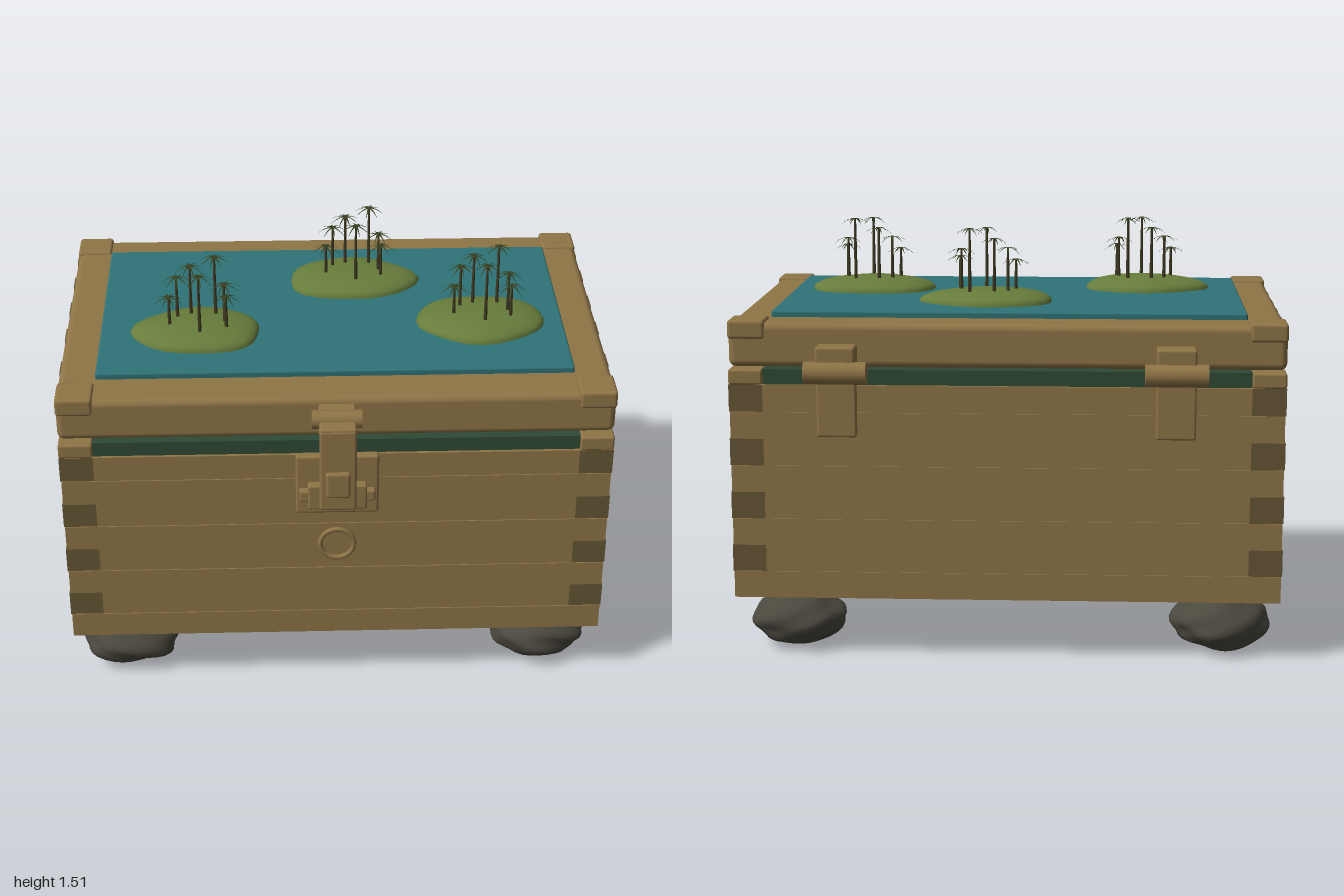
import * as THREE from 'three';
import { mergeVertices } from 'three/addons/utils/BufferGeometryUtils.js';
import { RoundedBoxGeometry } from 'three/addons/geometries/RoundedBoxGeometry.js';

const mat = (name, color) => {
  const m = new THREE.MeshStandardMaterial({ color });
  m.name = name;
  return m;
};

export function createModel() {
  const model = new THREE.Group();
  model.name = 'islandChest';
  const wood = mat('wood', 0x8f7547), endGrain = mat('endGrain', 0x665735);
  const liner = mat('liner', 0x2f4a35), water = mat('water', 0x2f7377);
  const grass = mat('grass', 0x687d3c), stone = mat('stone', 0x4b483e);
  const bark = mat('bark', 0x3f3a22), leaf = mat('leaf', 0x34401f);
  leaf.side = THREE.DoubleSide;

  const add = (name, geo, material, parent = model) => {
    const m = new THREE.Mesh(geo, material);
    m.name = name;
    parent.add(m);
    return m;
  };
  // Box given by its limits, with an optional rounded edge
  const box = (name, material, [x0, x1], [y0, y1], [z0, z1], r = 0, parent = model) => {
    const s = [x1 - x0, y1 - y0, z1 - z0];
    const m = add(name, r ? new RoundedBoxGeometry(...s, 3, r) : new THREE.BoxGeometry(...s), material, parent);
    m.position.set((x0 + x1) / 2, (y0 + y1) / 2, (z0 + z1) / 2);
    return m;
  };
  const barrel = (name, x, y, z, r, len) => {
    const m = add(name, new THREE.CylinderGeometry(r, r, len, 20), wood);
    m.rotation.z = Math.PI / 2;
    m.position.set(x, y, z);
  };

  // Chest limits
  const X0 = -0.965, X1 = 0.995, Z0 = -0.68, Z1 = 0.63, Y0 = 0.22, H = 0.097, TX = 0.12, TZ = 0.1;

  // Box-jointed walls: even rows run through along x, odd rows along z
  const endX = [endGrain, endGrain, wood, wood, wood, wood];
  const endZ = [wood, wood, wood, wood, endGrain, endGrain];
  const e = 0.004;
  for (let i = 0; i < 8; i++) {
    const y = [Y0 + i * H, Y0 + (i + 1) * H];
    if (i % 2 === 0) {
      box('frontBoard', endX, [X0 + e, X1 - e], y, [Z1 - TZ, Z1]);
      box('backBoard', endX, [X0 + e, X1 - e], y, [Z0, Z0 + TZ]);
      for (const x of [[X0 + e, X0 + TX], [X1 - TX, X1 - e]])
        box('sideBoard', wood, x, y, [Z0 + TZ, Z1 - TZ]);
    } else {
      box('leftBoard', endZ, [X1 - TX, X1], y, [Z0 + e, Z1 - e]);
      box('rightBoard', endZ, [X0, X0 + TX], y, [Z0 + e, Z1 - e]);
      for (const z of [[Z0 + e, Z0 + TZ], [Z1 - TZ, Z1 - e]])
        box('crossBoard', wood, [X0 + TX, X1 - TX], y, z);
    }
  }
  // Corner stubs above the walls
  const top = Y0 + 8 * H;
  for (const x of [[X0, X0 + TX], [X1 - TX, X1]])
    for (const z of [[Z0, Z0 + TZ], [Z1 - TZ, Z1]])
      box('cornerStub', wood, x, [top, 1.05], z, 0.008);

  // Liner showing under the lid, and the base
  box('linerLong', liner, [X0 + TX, X1 - TX], [0.9, 1.05], [Z0 + 0.015, Z1 - 0.015]);
  box('linerCross', liner, [X0 + 0.012, X1 - 0.012], [top - 0.01, 1.048], [-0.565, 0.52]);
  box('base', wood, [-0.88, 0.915], [0.187, 0.26], [-0.58, 0.535], 0.012);

  // Lid with end-grain patches and corner caps
  box('lid', wood, [X0 - 0.002, X1 + 0.002], [1.055, 1.212], [-0.655, 0.605], 0.025);
  for (const z of [0.495, 0.323, 0.083, -0.126, -0.335, -0.538])
    for (const x of [X0 - 0.002, X1 + 0.002])
      box('lidEndGrain', endGrain, [x - 0.003, x + 0.003], [1.075, 1.192], [z - 0.043, z + 0.043]);
  for (const x of [[X0 - 0.003, X0 + 0.128], [X1 - 0.128, X1 + 0.003]])
    for (const z of [[-0.662, -0.53], [0.48, 0.61]])
      box('lidCorner', wood, x, [1.155, 1.222], z, 0.012);

  // Water sheet
  box('water', water, [-0.835, 0.865], [1.2, 1.235], [-0.51, 0.45], 0.008);

  // Islands: wobbly flattened domes
  const dome = (seed) => {
    const g = new THREE.SphereGeometry(1, 24, 10, 0, Math.PI * 2, 0, Math.PI / 2);
    const p = g.attributes.position;
    for (let i = 0; i < p.count; i++) {
      const x = p.getX(i), z = p.getZ(i), a = Math.atan2(z, x);
      const k = 0.98 + 0.035 * Math.sin(3 * a + seed) + 0.025 * Math.sin(5 * a + seed * 2);
      p.setXYZ(i, x * k, Math.pow(Math.max(p.getY(i), 0), 0.8), z * k);
    }
    g.computeVertexNormals();
    return g;
  };
  // One palm frond, bent down towards its tip
  const frond = new THREE.PlaneGeometry(0.055, 0.009, 4, 1).rotateX(-Math.PI / 2).translate(0.0275, 0, 0);
  const fp = frond.attributes.position;
  for (let i = 0; i < fp.count; i++) {
    const t = fp.getX(i) / 0.055;
    fp.setY(i, 0.004 * t - 0.024 * t * t);
    fp.setZ(i, fp.getZ(i) * (1.1 - t));
  }
  frond.computeVertexNormals();

  // Palm offsets x, z and crown height
  const palms = [
    [-0.1, 0.016, 1.39], [-0.073, -0.042, 1.44], [-0.024, -0.062, 1.475], [0.011, 0.072, 1.5],
    [0.066, -0.062, 1.51], [0.1, -0.002, 1.43], [0.107, 0.037, 1.4],
  ];
  const islands = [[0.1, -0.24, 0.25, 0.163], [0.56, 0.1, 0.242, 0.177], [-0.48, 0.155, 0.24, 0.168]];
  islands.forEach(([x, z, rx, rz], n) => {
    const island = new THREE.Group();
    island.name = 'island';
    island.position.set(x, 0, z);
    model.add(island);
    const hill = add('hill', dome(n * 2 + 1), grass, island);
    hill.scale.set(rx, 0.053, rz);
    hill.position.y = 1.232;
    for (const [px, pz, y] of palms) {
      const trunk = add('palmTrunk', new THREE.CylinderGeometry(0.004, 0.007, y - 1.26, 7), bark, island);
      trunk.position.set(px, (y + 1.26) / 2, pz);
      for (let k = 0; k < 8; k++) {
        const f = add('palmFrond', frond, leaf, island);
        f.position.set(px, y, pz);
        f.rotation.y = k * Math.PI / 4 + px * 20;
      }
    }
  });

  // Boulder feet: displaced spheres
  const boulder = (seed) => {
    let g = new THREE.IcosahedronGeometry(1, 6);
    g.deleteAttribute('uv');
    g.deleteAttribute('normal');
    g = mergeVertices(g, 1e-4);
    const p = g.attributes.position, v = new THREE.Vector3();
    for (let i = 0; i < p.count; i++) {
      v.fromBufferAttribute(p, i);
      const k = 0.99 + 0.05 * Math.sin(4 * v.x + seed) * Math.cos(3 * v.z + seed)
        + 0.035 * Math.sin(7 * v.y + 5 * v.x + seed) + 0.025 * Math.sin(9 * v.z - 6 * v.y + seed);
      p.setXYZ(i, v.x * k, v.y * k, v.z * k);
    }
    g.computeVertexNormals();
    return g;
  };
  let seed = 1;
  for (const x of [-0.757, 0.787])
    for (const z of [0.455, -0.505]) {
      const foot = add('boulderFoot', boulder(seed++), stone);
      foot.scale.set(0.178, 0.098, 0.15);
      foot.position.set(x, 0.1, z);
    }

  // Front latch: plate, staple, hinge barrel and hanging hasp
  box('latchPlate', wood, [-0.132, 0.163], [0.765, 1.005], [0.62, 0.655], 0.01);
  box('latchStaple', wood, [-0.09, 0.12], [0.8, 0.9], [0.645, 0.685], 0.008);
  for (const x of [-0.097, 0.127]) box('latchStud', wood, [x - 0.023, x + 0.023], [0.83, 0.875], [0.645, 0.68], 0.008);
  box('latchMount', wood, [-0.05, 0.08], [1.08, 1.19], [0.595, 0.64], 0.008);
  barrel('latchBarrel', 0.013, 1.162, 0.66, 0.033, 0.175);
  box('haspArm', wood, [-0.05, 0.08], [1.138, 1.168], [0.66, 0.742], 0.01);
  box('hasp', wood, [-0.05, 0.08], [0.835, 1.16], [0.715, 0.745], 0.01);
  box('haspKnob', wood, [-0.028, 0.058], [0.895, 0.997], [0.715, 0.76], 0.01);

  // Ring pulls on the front and the right side
  add('frontRing', new THREE.TorusGeometry(0.061, 0.009, 10, 32), wood).position.set(0.015, 0.626, 0.643);
  const disc = add('frontRingPlate', new THREE.CylinderGeometry(0.056, 0.056, 0.008, 32), wood);
  disc.rotation.x = Math.PI / 2;
  disc.position.set(0.015, 0.626, 0.632);
  const ring = add('sideRing', new THREE.TorusGeometry(0.063, 0.008, 10, 32), wood);
  ring.rotation.y = Math.PI / 2;
  ring.position.set(-0.99, 0.645, -0.03);
  box('sideRingMount', wood, [-0.995, -0.96], [0.675, 0.765], [-0.065, 0.005], 0.01);

  // Back hinges
  for (const x of [-0.58, 0.61]) {
    barrel('hingeBarrel', x, 1.048, -0.722, 0.04, 0.22);
    box('hingeUpperLeaf', wood, [x - 0.07, x + 0.07], [1.05, 1.14], [-0.73, -0.64], 0.01);
    box('hingeLowerLeaf', wood, [x - 0.07, x + 0.07], [0.815, 1.05], [-0.706, -0.67], 0.008);
  }
  return model;
}
